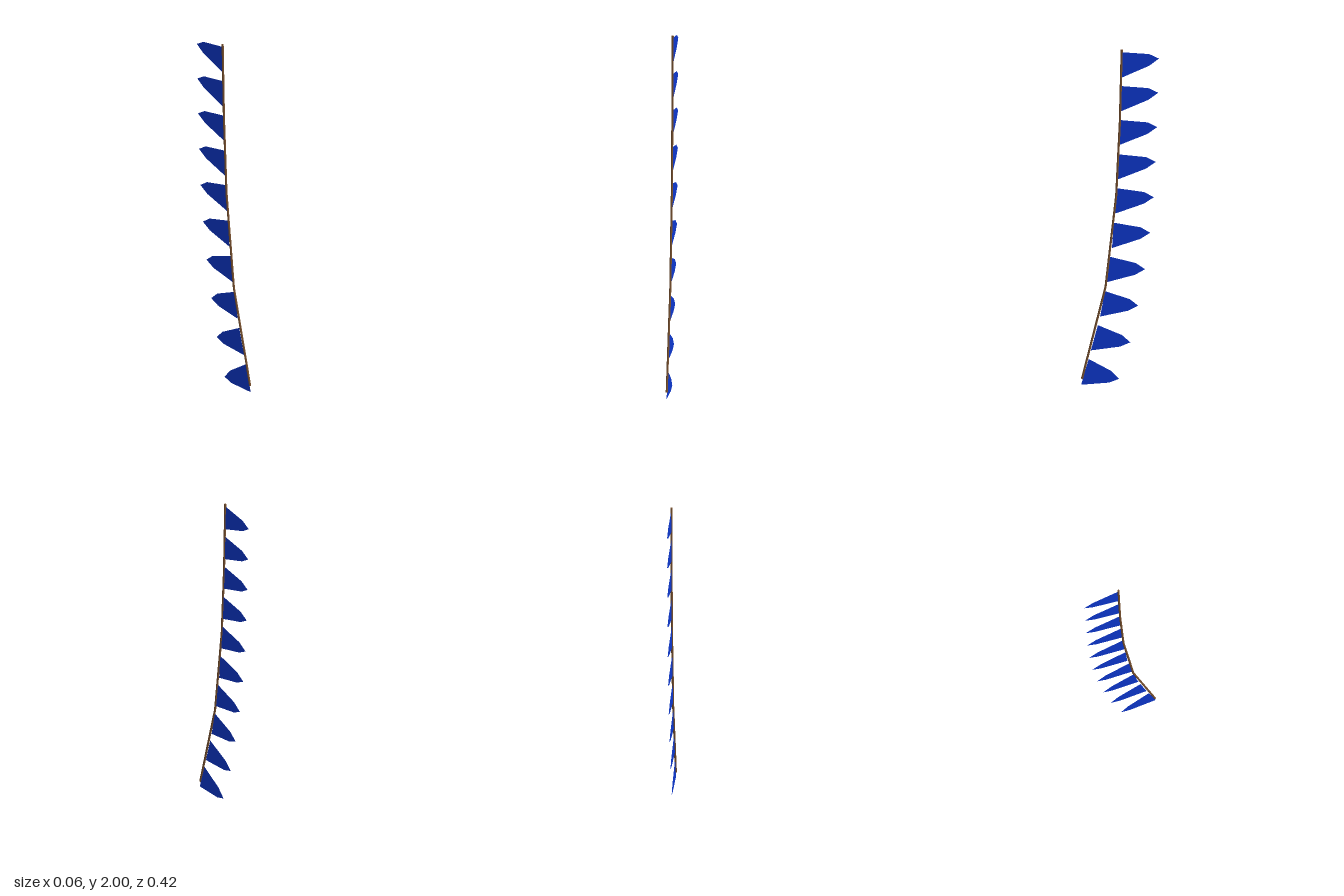
import * as THREE from 'three';

// Everything lies in one slightly turned vertical plane, so x follows from z
const inPlane = (z, y) => new THREE.Vector3(-0.005 + (z + 0.01) * 0.133, y, z);

// Line joints as [z, y], bottom to top
const LINE = [[0.208, 0.04], [0.08, 0.585], [0.022, 1.13], [0.002, 1.57], [-0.008, 2]];

// Pennants: [zTop, yTop, zBottom, yBottom, zTip, yTip], bottom to top
const PENNANTS = [
  [0.172, 0.156, 0.213, 0.003, 0.007, 0.033],
  [0.122, 0.357, 0.160, 0.207, -0.055, 0.250],
  [0.083, 0.559, 0.110, 0.408, -0.098, 0.468],
  [0.055, 0.764, 0.075, 0.612, -0.135, 0.685],
  [0.035, 0.967, 0.045, 0.816, -0.163, 0.902],
  [0.020, 1.173, 0.026, 1.022, -0.183, 1.114],
  [0.011, 1.375, 0.014, 1.225, -0.194, 1.325],
  [0.004, 1.580, 0.006, 1.430, -0.202, 1.533],
  [-0.002, 1.783, 0.000, 1.630, -0.207, 1.738],
  [-0.007, 1.985, -0.006, 1.832, -0.211, 1.942],
];

function lineSegment(a, b, material) {
  const dir = b.clone().sub(a);
  const mesh = new THREE.Mesh(new THREE.CylinderGeometry(0.006, 0.006, dir.length(), 8), material);
  mesh.position.copy(a).add(b).multiplyScalar(0.5);
  mesh.quaternion.setFromUnitVectors(new THREE.Vector3(0, 1, 0), dir.normalize());
  mesh.name = 'lineSegment';
  return mesh;
}

// Five-cornered pennant: hoist edge, two shoulders and a blunt tip
function pennant([zt, yt, zb, yb, zp, yp], material) {
  const top = inPlane(zt, yt), bottom = inPlane(zb, yb), tip = inPlane(zp, yp);
  const upper = top.clone().lerp(tip, 0.74);
  const lower = bottom.clone().lerp(tip, 0.74);
  upper.y += 0.017;
  lower.y -= 0.013;
  const geometry = new THREE.BufferGeometry().setFromPoints([top, bottom, lower, tip, upper]);
  geometry.setIndex([0, 2, 1, 0, 4, 2, 4, 3, 2]);
  geometry.computeVertexNormals();
  const mesh = new THREE.Mesh(geometry, material);
  mesh.name = 'pennant';
  return mesh;
}

export function createModel() {
  const model = new THREE.Group();
  model.name = 'pennantString';
  const brown = new THREE.MeshStandardMaterial({ color: 0x7a5230 });
  const blue = new THREE.MeshStandardMaterial({ color: 0x0d38d0, side: THREE.DoubleSide });

  // Hanging line
  const line = new THREE.Group();
  line.name = 'line';
  const joints = LINE.map(([z, y]) => inPlane(z, y));
  for (let i = 1; i < joints.length; i++) line.add(lineSegment(joints[i - 1], joints[i], brown));

  // Row of pennants
  const pennants = new THREE.Group();
  pennants.name = 'pennants';
  for (const corners of PENNANTS) pennants.add(pennant(corners, blue));

  model.add(line, pennants);
  return model;
}
